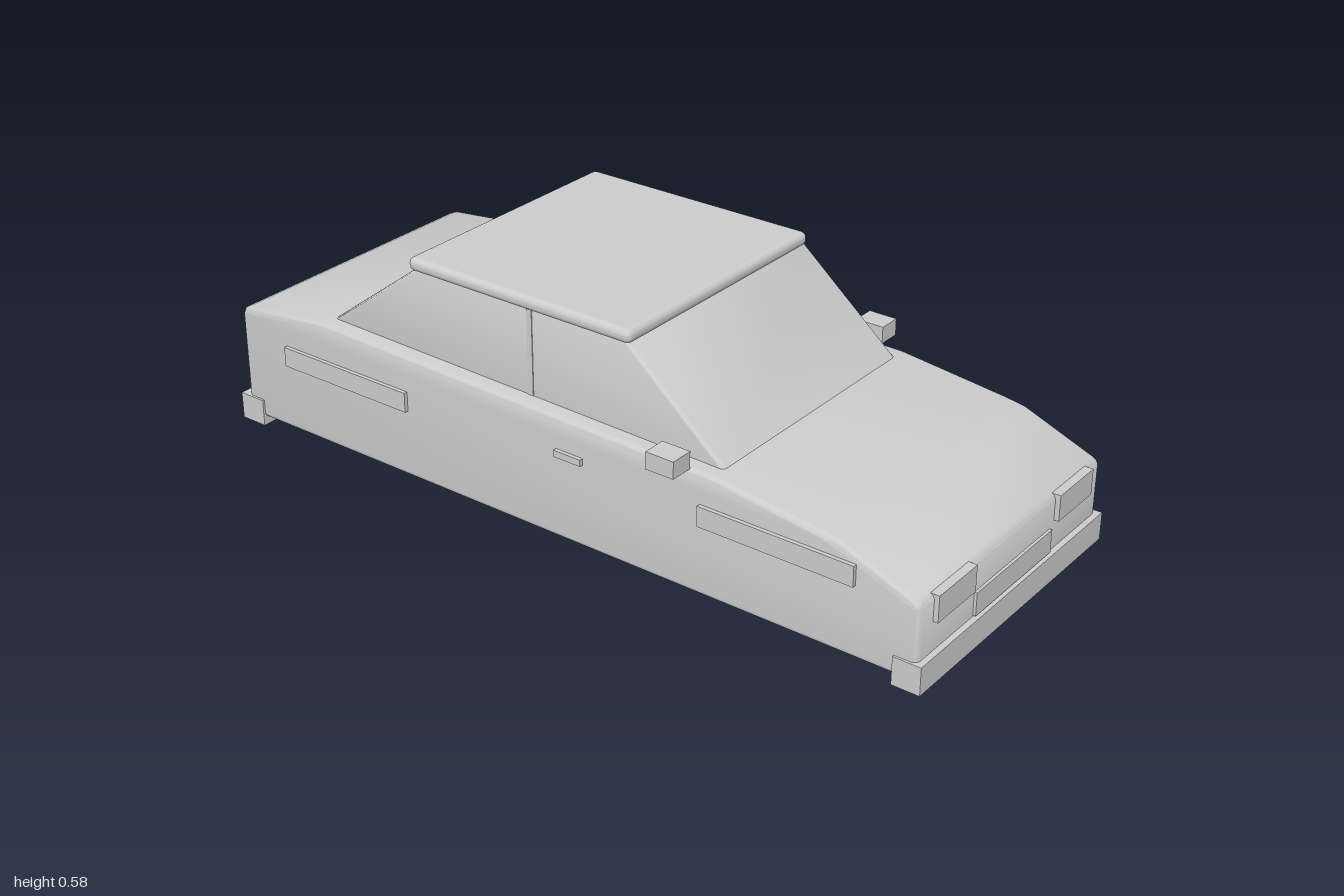
import * as THREE from 'three';
import { toCreasedNormals } from 'three/addons/utils/BufferGeometryUtils.js';
import { RoundedBoxGeometry } from 'three/addons/geometries/RoundedBoxGeometry.js';

export function createModel() {
  const car = new THREE.Group();
  car.name = 'car';
  const grey = new THREE.MeshStandardMaterial({ color: 0xcccccc });
  grey.name = 'light grey';

  function add(name, geometry) {
    const mesh = new THREE.Mesh(geometry, grey);
    mesh.name = name;
    car.add(mesh);
    return mesh;
  }

  // Box given by its limits on each axis
  function box(name, [x0, x1], [y0, y1], [z0, z1]) {
    add(name, new THREE.BoxGeometry(x1 - x0, y1 - y0, z1 - z0))
      .position.set((x0 + x1) / 2, (y0 + y1) / 2, (z0 + z1) / 2);
  }

  // The same box on both sides of the car
  function pair(name, x, y, [z0, z1]) {
    box(name + 'Left', x, y, [z0, z1]);
    box(name + 'Right', x, y, [-z1, -z0]);
  }

  // Side profile swept across the width, with rounded side edges
  function sweep(name, profile, halfWidth, bevel) {
    const shape = new THREE.Shape(profile.map(([x, y]) => new THREE.Vector2(x, y)));
    const geometry = new THREE.ExtrudeGeometry(shape, {
      depth: 2 * (halfWidth - bevel), bevelThickness: bevel, bevelSize: bevel,
      bevelOffset: -bevel, bevelSegments: 4,
    });
    geometry.translate(0, 0, -(halfWidth - bevel));
    add(name, toCreasedNormals(geometry, 0.6));
  }

  // Lower body: bonnet slopes down to the nose at +x
  sweep('body', [
    [-0.98, 0.02], [0.985, 0.02], [0.985, 0.2], [0.98, 0.208], [0.968, 0.215],
    [0.79, 0.285], [0.74, 0.293], [0.46, 0.325], [-0.7, 0.347], [-0.955, 0.318],
    [-0.973, 0.31], [-0.98, 0.295],
  ], 0.388, 0.015);

  // Cabin with sloping windscreens, and the roof
  sweep('cabin', [[-0.76, 0.3], [0.49, 0.3], [0.19, 0.555], [-0.42, 0.555]], 0.343, 0.012);
  add('roof', new RoundedBoxGeometry(0.65, 0.035, 0.69, 4, 0.016)).position.set(-0.12, 0.56, 0);
  pair('doorPillar', [-0.085, -0.07], [0.33, 0.55], [0.335, 0.345]);

  // Bumpers
  box('frontBumper', [0.93, 1], [0, 0.07], [-0.394, 0.394]);
  box('rearBumper', [-1, -0.925], [0, 0.07], [-0.394, 0.394]);

  // Lights, grille and number plate
  pair('headlight', [0.96, 0.997], [0.145, 0.211], [0.18, 0.332]);
  box('grille', [0.96, 0.992], [0.073, 0.131], [-0.163, 0.163]);
  pair('tailLight', [-0.995, -0.96], [0.2, 0.27], [0.2, 0.34]);
  box('rearPlate', [-0.995, -0.96], [0.1, 0.16], [-0.1, 0.1]);

  // Side trim, door handles and mirrors
  pair('frontTrim', [0.43, 0.83], [0.2, 0.251], [0.37, 0.398]);
  pair('rearTrim', [-0.825, -0.425], [0.2, 0.251], [0.37, 0.398]);
  pair('doorHandle', [0.03, 0.107], [0.236, 0.253], [0.37, 0.398]);
  pair('mirror', [0.325, 0.4], [0.325, 0.368], [0.382, 0.442]);

  return car;
}
